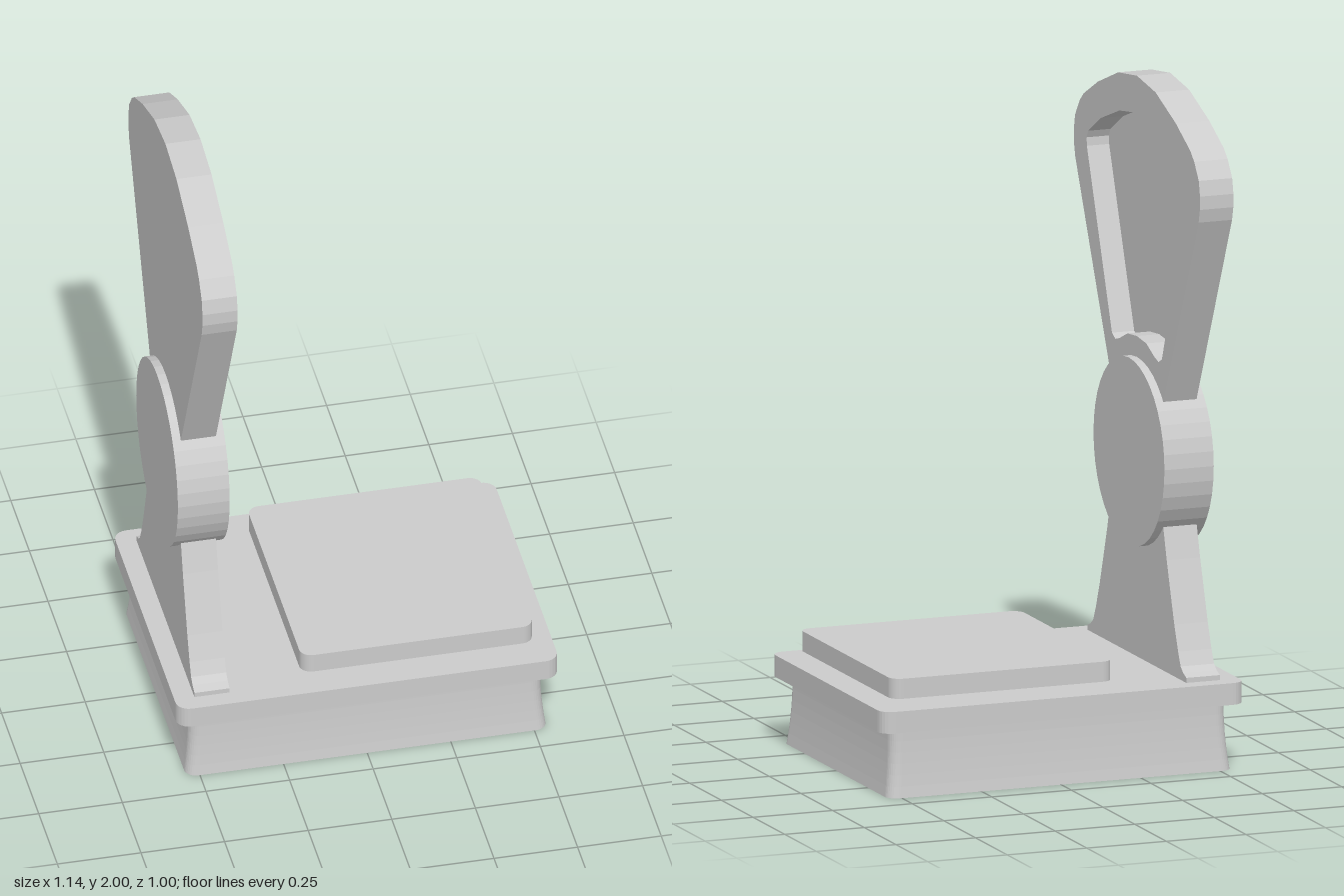
import * as THREE from 'three';

const material = new THREE.MeshStandardMaterial({ color: 0xcccccc, flatShading: true });

function addPart(group, name, geometry) {
  const mesh = new THREE.Mesh(geometry, material);
  mesh.name = name;
  group.add(mesh);
  return mesh;
}

// Right half of a side outline, listed bottom to top, mirrored to a closed loop
function mirrored(half) {
  const left = half.filter(([u]) => u > 0).map(([u, v]) => [-u, v]).reverse();
  return [...half, ...left].map(([u, v]) => new THREE.Vector2(u, v));
}

// Side outline (z, y) extruded along x from x0 to x1
function sidePlate(outline, x0, x1, hole) {
  const shape = new THREE.Shape(outline);
  if (hole) shape.holes.push(new THREE.Path(hole));
  return new THREE.ExtrudeGeometry(shape, { depth: x1 - x0, bevelEnabled: false })
    .rotateY(Math.PI / 2).translate(x0, 0, 0);
}

// Upright block with rounded corners in plan
function roundedSlab(x0, x1, halfZ, y0, y1, r, segments, steps = 1) {
  const hx = (x1 - x0) / 2, s = new THREE.Shape();
  s.moveTo(-hx + r, -halfZ);
  s.lineTo(hx - r, -halfZ);
  s.absarc(hx - r, -halfZ + r, r, -Math.PI / 2, 0);
  s.absarc(hx - r, halfZ - r, r, 0, Math.PI / 2);
  s.absarc(-hx + r, halfZ - r, r, Math.PI / 2, Math.PI);
  s.absarc(-hx + r, -halfZ + r, r, Math.PI, Math.PI * 1.5);
  return new THREE.ExtrudeGeometry(s, { depth: y1 - y0, steps, curveSegments: segments, bevelEnabled: false })
    .rotateX(-Math.PI / 2).translate((x0 + x1) / 2, y0, 0);
}

export function createModel() {
  const scale = new THREE.Group();
  scale.name = 'counterScale';

  // Base with sides that sweep inward towards the top
  const base = roundedSlab(-0.54, 0.54, 0.42, 0, 0.2, 0.035, 4, 6);
  const p = base.attributes.position;
  for (let i = 0; i < p.count; i++) {
    const inset = 0.014 * (1 - (1 - p.getY(i) / 0.2) ** 2);
    p.setX(i, p.getX(i) * (1 - inset / 0.54));
    p.setZ(i, p.getZ(i) * (1 - inset / 0.42));
  }
  base.computeVertexNormals();
  addPart(scale, 'base', base);
  addPart(scale, 'baseTop', roundedSlab(-0.57, 0.57, 0.443, 0.2, 0.265, 0.04, 3));

  // Weighing platform hovers just above the base
  addPart(scale, 'weighingPlatform', roundedSlab(-0.185, 0.51, 0.37, 0.285, 0.345, 0.035, 4));

  // Flared stand running up into the hub
  const stand = mirrored([
    [0.39, 0.262], [0.39, 0.28], [0.365, 0.29], [0.345, 0.305], [0.325, 0.345],
    [0.295, 0.42], [0.268, 0.5], [0.235, 0.6], [0.206, 0.7], [0.17, 0.9],
  ]);
  addPart(scale, 'stand', sidePlate(stand, -0.51, -0.405));

  // Round hub
  const hub = addPart(scale, 'hub', new THREE.CylinderGeometry(0.28, 0.28, 0.155, 40));
  hub.rotation.z = Math.PI / 2;
  hub.position.set(-0.4575, 0.88, 0);

  // Fan-shaped dial head: solid back and a frame around the sunken face
  const fan = mirrored([
    [0.15, 0.94], [0.206, 1.065], [0.487, 1.66], [0.497, 1.7], [0.498, 1.74], [0.488, 1.785],
    [0.452, 1.835], [0.42, 1.862], [0.307, 1.92], [0.148, 1.98], [0, 2],
  ]);
  const recess = mirrored([
    [0, 1.222], [0.074, 1.215], [0.138, 1.188], [0.17, 1.179], [0.197, 1.192],
    [0.395, 1.71], [0.397, 1.735], [0.385, 1.757], [0.286, 1.815], [0.138, 1.868], [0, 1.889],
  ]);
  const head = new THREE.Group();
  head.name = 'dialHead';
  addPart(head, 'dialBack', sidePlate(fan, -0.51, -0.475));
  addPart(head, 'dialFrame', sidePlate(fan, -0.475, -0.405, recess));
  scale.add(head);

  return scale;
}
